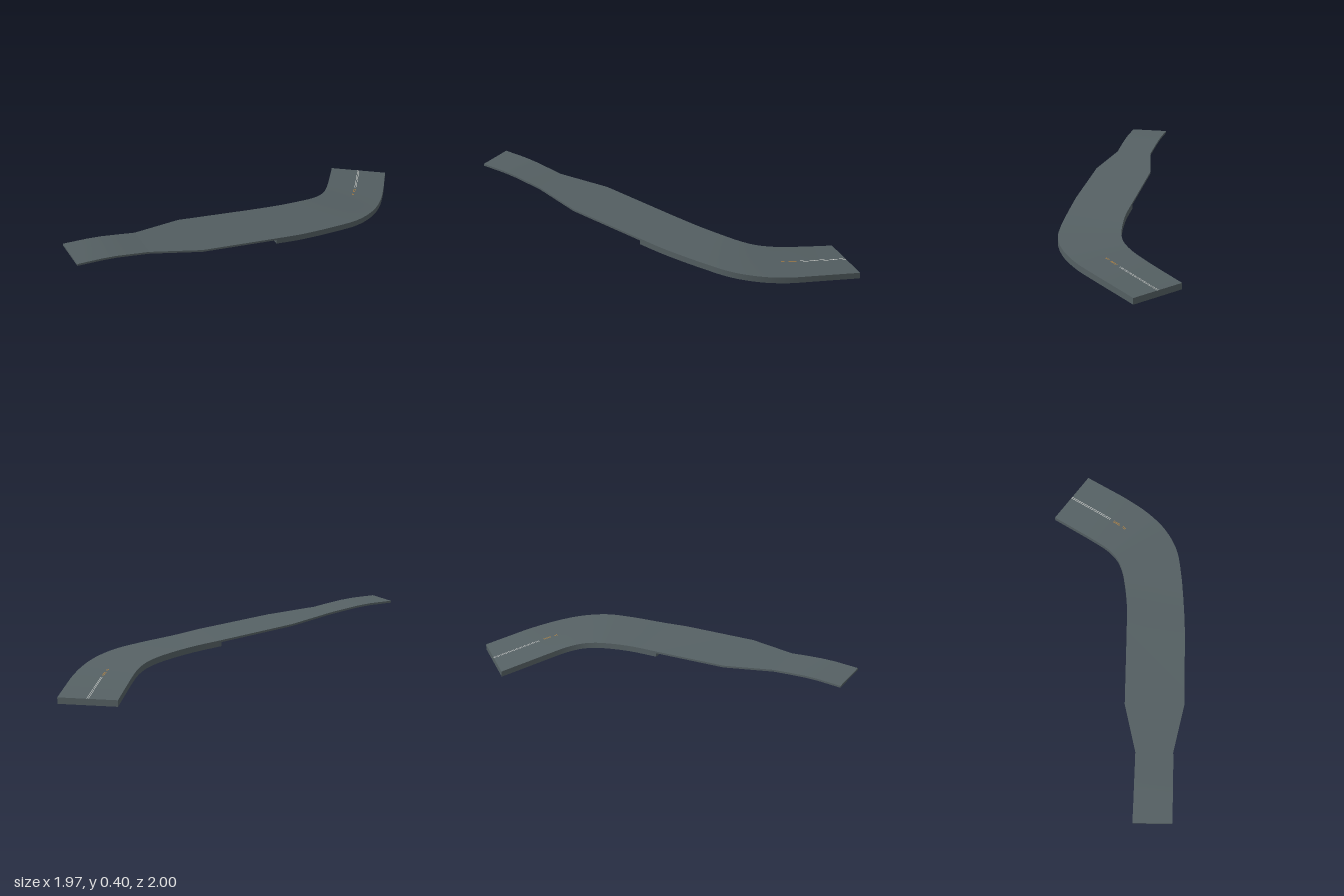
import * as THREE from 'three';
import { toCreasedNormals } from 'three/addons/utils/BufferGeometryUtils.js';

// Road cross-sections: [inner x, inner z, inner height, outer x, outer z, outer height]
const bend = [
  [0.587, -1.0, 0.042, 0.983, -0.99, 0.042],
  [0.586, -0.82, 0.074, 0.984, -0.82, 0.07],
  [0.583, -0.65, 0.106, 0.984, -0.65, 0.097],
  [0.573, -0.52, 0.133, 0.970, -0.45, 0.123],
  [0.543, -0.42, 0.155, 0.925, -0.275, 0.148],
  [0.49, -0.34, 0.174, 0.835, -0.115, 0.172],
  [0.41, -0.26, 0.193, 0.70, 0.015, 0.193],
  [0.28, -0.15, 0.217, 0.48, 0.19, 0.221],
  [0.107, -0.03, 0.242, 0.327, 0.302, 0.247],
];
const taper = [
  bend[8],
  [-0.34, 0.27, 0.31, -0.12, 0.60, 0.31],
  [-0.58, 0.525, 0.352, -0.44, 0.73, 0.352],
];
const end = [
  taper[2],
  [-0.68, 0.59, 0.371, -0.535, 0.795, 0.371],
  [-0.77, 0.648, 0.387, -0.625, 0.854, 0.387],
  [-0.85, 0.70, 0.396, -0.705, 0.908, 0.396],
  [-0.99, 0.79, 0.402, -0.845, 1.0, 0.402],
];

// Smooth the bend through its sections
function smooth(sections, steps) {
  const edge = k => new THREE.CatmullRomCurve3(
    sections.map(s => new THREE.Vector3(s[k], s[k + 2], s[k + 1])));
  const inner = edge(0), outer = edge(3);
  return Array.from({ length: steps + 1 }, (_, i) => {
    const a = inner.getPoint(i / steps), b = outer.getPoint(i / steps);
    return [a.x, a.z, a.y, b.x, b.z, b.y];
  });
}

// Collect quads into a geometry with sharp edges
function fromQuads(quads) {
  const pos = quads.flatMap(([a, b, c, d]) => [a, b, c, a, c, d].flat());
  const geometry = new THREE.BufferGeometry();
  geometry.setAttribute('position', new THREE.Float32BufferAttribute(pos, 3));
  return toCreasedNormals(geometry, 0.5);
}

// Point across a section at fraction u, moved vertically by dy
const across = ([ax, az, ay, bx, bz, by], u, dy) =>
  [ax + (bx - ax) * u, ay + (by - ay) * u + dy, az + (bz - az) * u];

// Flat ribbon along the sections between two fractions of the width
function ribbon(sections, u0, u1, lift) {
  return sections.slice(1).map((q, i) => {
    const p = sections[i];
    return [across(p, u0, lift), across(q, u0, lift), across(q, u1, lift), across(p, u1, lift)];
  });
}

// Deck with skirts down its sides and ends, open underneath
function deck(sections, depth, startSkirt) {
  const quads = ribbon(sections, 0, 1, 0);
  for (let i = 1; i < sections.length; i++) {
    const p = sections[i - 1], q = sections[i];
    quads.push([across(p, 1, 0), across(q, 1, 0), across(q, 1, -depth), across(p, 1, -depth)]);
    quads.push([across(q, 0, 0), across(p, 0, 0), across(p, 0, -depth), across(q, 0, -depth)]);
  }
  const endSkirt = (s, a, b) =>
    quads.push([across(s, a, 0), across(s, b, 0), across(s, b, -depth), across(s, a, -depth)]);
  if (startSkirt) endSkirt(sections[0], 0, 1);
  endSkirt(sections[sections.length - 1], 1, 0);
  return fromQuads(quads);
}

export function createModel() {
  const group = new THREE.Group();
  const material = (name, color) => Object.assign(
    new THREE.MeshStandardMaterial({ color, side: THREE.DoubleSide }), { name });
  const asphalt = material('asphalt', 0x556063);
  const white = material('white paint', 0xd8d8d4);
  const orange = material('orange paint', 0xd08a30);
  const add = (name, geometry, mat) => {
    const mesh = new THREE.Mesh(geometry, mat);
    mesh.name = name;
    group.add(mesh);
  };

  // Deep curved deck, shallow taper and narrow end
  const curve = smooth(bend, 48);
  add('curvedDeck', deck(curve, 0.042, true), asphalt);
  add('taperedDeck', deck(taper, 0.014, false), asphalt);
  add('narrowEnd', deck(end, 0.014, false), asphalt);

  // Fine double centre line, then short dashes into the bend
  for (const u of [0.488, 0.512]) {
    const paint = (from, to) => fromQuads(ribbon(curve.slice(from, to + 1), u - 0.004, u + 0.004, 0.0008));
    add('centreLine', paint(0, 12), white);
    add('centreDash', paint(13, 15), orange);
    add('centreDash', paint(16, 17), orange);
  }
  return group;
}
